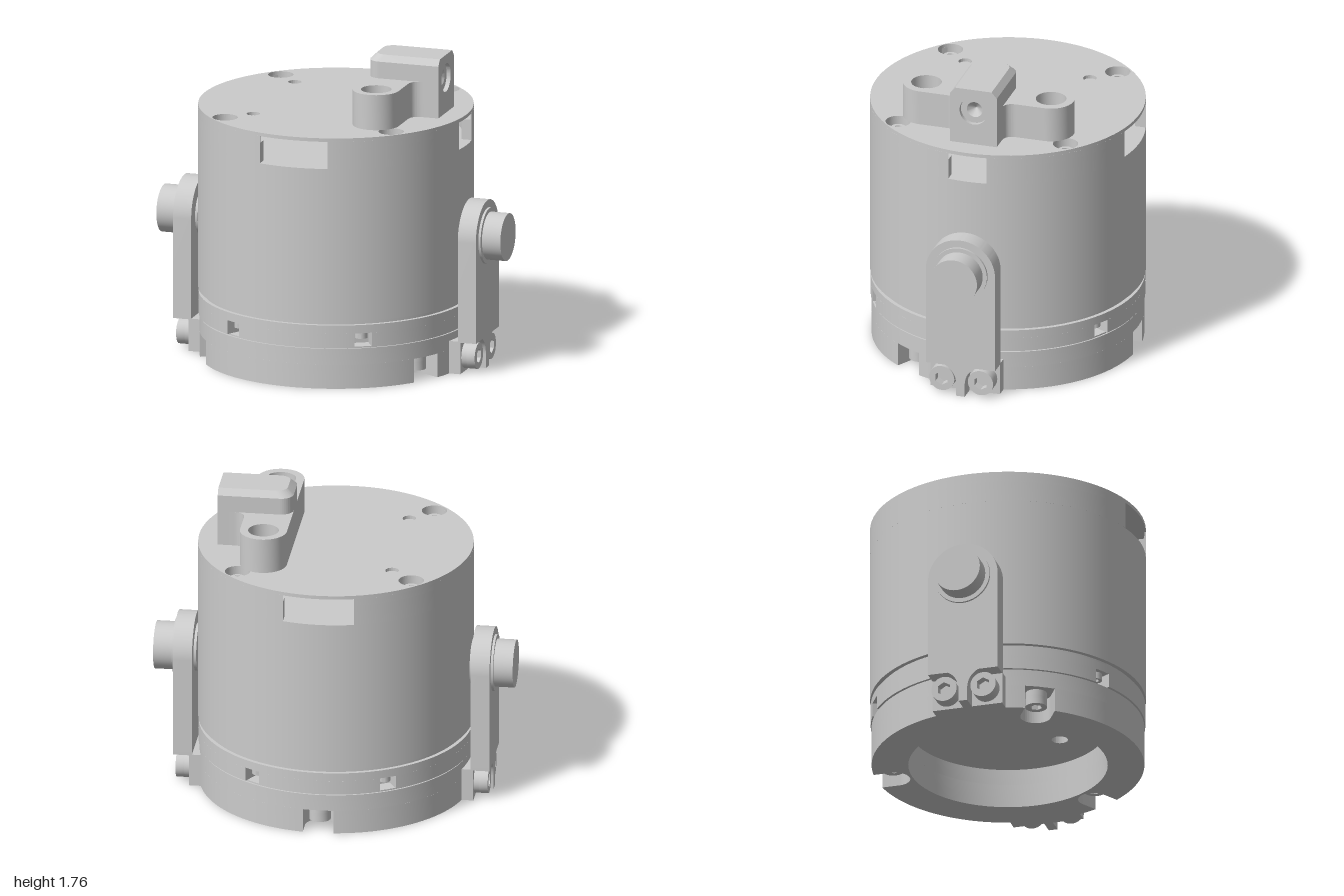
import * as THREE from 'three';
import { toCreasedNormals } from 'three/addons/utils/BufferGeometryUtils.js';

const PI = Math.PI;
const material = new THREE.MeshStandardMaterial({ color: 0xcccccc });
const thin = new THREE.MeshStandardMaterial({ color: 0xcccccc, side: THREE.DoubleSide });

export function createModel() {
  const model = new THREE.Group();

  function add(name, geometry, parent = model, mat = material) {
    const mesh = new THREE.Mesh(geometry, mat);
    mesh.name = name;
    parent.add(mesh);
    return mesh;
  }
  function extrude(shape, depth, segments = 32) {
    return toCreasedNormals(new THREE.ExtrudeGeometry(shape, { depth, bevelEnabled: false, curveSegments: segments }), 0.5);
  }
  // plan shape (x, z) extruded between two heights
  const layer = (shape, y0, y1, seg) => extrude(shape, y1 - y0, seg).rotateX(PI / 2).translate(0, y1, 0);
  // side profile (z, y) extruded between two x positions
  const sideways = (shape, x0, x1) => extrude(shape, x1 - x0).rotateY(PI / 2).translate(x0, 0, 0);
  const drum = (r, y0, y1) => new THREE.CylinderGeometry(r, r, y1 - y0, 96).translate(0, (y0 + y1) / 2, 0);

  function circle(r, x = 0, y = 0) {
    return new THREE.Shape().absarc(x, y, r, 0, 2 * PI, false);
  }
  function withHoles(shape, holes) {
    for (const [x, y, r] of holes) shape.holes.push(circle(r, x, y));
    return shape;
  }
  // disc with radial slots cut in from the rim
  function notchedDisc(R, angles, w, rIn, round) {
    const s = new THREE.Shape();
    const da = Math.asin(w / R);
    angles.forEach((a, i) => {
      const n = i + 1 < angles.length ? angles[i + 1] : angles[0] + 2 * PI;
      const at = (t) => [rIn * Math.cos(n) - t * Math.sin(n), rIn * Math.sin(n) + t * Math.cos(n)];
      s.absarc(0, 0, R, a + da, n - da, false);
      s.lineTo(...at(-w));
      if (round) s.absarc(...at(0), w, n - PI / 2, n + PI / 2, true);
      else s.lineTo(...at(w));
    });
    return s;
  }
  // wall piece between two windows with half widths w0 and w1
  function sector(R, r, a0, w0, a1, w1) {
    const s = new THREE.Shape();
    s.absarc(0, 0, R, a0 + Math.asin(w0 / R), a1 - Math.asin(w1 / R), false);
    s.absarc(0, 0, r, a1 - Math.asin(w1 / r), a0 + Math.asin(w0 / r), true);
    return s;
  }
  // socket head screw, head pointing up, resting on y = 0
  function screw(name, r, h) {
    const g = new THREE.Group();
    g.name = name;
    const hex = new THREE.Path();
    hex.setFromPoints([0, 1, 2, 3, 4, 5].map((i) =>
      new THREE.Vector2(Math.cos(i * PI / 3), Math.sin(i * PI / 3)).multiplyScalar(r * 0.55)));
    const head = circle(r);
    head.holes.push(hex);
    add('screwHead', layer(head, h * 0.4, h, 16), g);
    add('screwShank', new THREE.CylinderGeometry(r, r, h * 0.4, 32).translate(0, h * 0.2, 0), g);
    model.add(g);
    return g;
  }

  // base ring with three screw notches
  const notches = [PI / 6, 5 * PI / 6, 3 * PI / 2];
  const foot = notchedDisc(0.752, notches, 0.085, 0.65, true);
  add('baseFoot', layer(withHoles(foot, [[0, 0, 0.55]]), 0, 0.135));
  add('baseRing', layer(withHoles(circle(0.752), [[0, 0, 0.55]]), 0.135, 0.228, 48));
  for (const a of notches) {
    const s = screw('baseScrew', 0.06, 0.085);
    s.rotation.x = PI;
    s.position.set(0.66 * Math.cos(a), 0.136, 0.66 * Math.sin(a));
  }

  // middle ring with four access slots, its underside drilled
  const slots = [PI / 3, 2 * PI / 3, 4 * PI / 3, 5 * PI / 3];
  const drilled = [[0.23, 0.23, 0.045], [-0.34, 0.17, 0.045], [0.11, 0.37, 0.025], [-0.25, 0.33, 0.025], [-0.41, 0.01, 0.025]];
  add('seam', layer(withHoles(circle(0.742), drilled), 0.226, 0.236, 48));
  add('slottedRing', layer(withHoles(notchedDisc(0.757, slots, 0.048, 0.66, false), drilled), 0.236, 0.315));
  add('middleRing', drum(0.757, 0.315, 0.362));
  add('groove', drum(0.735, 0.362, 0.386));
  for (const a of slots) {
    const s = screw('slotScrew', 0.035, 0.04);
    s.rotation.x = PI;
    s.position.set(0.7 * Math.cos(a), 0.316, 0.7 * Math.sin(a));
  }

  // main housing and its window band
  add('housing', drum(0.76, 0.386, 1.255));
  const windows = [[0, 0.11], [PI / 2, 0.197], [3 * PI / 2, 0.197], [2 * PI, 0.11]];
  for (let i = 0; i < 3; i++) {
    const span = [...windows[i], ...windows[i + 1]];
    add('windowWall', layer(sector(0.76, 0.7, ...span), 1.255, 1.37, 48));
    add('windowWallTop', layer(sector(0.76, 0.752, ...span), 1.37, 1.41, 48));
  }

  // lid with four counterbores and two small holes
  const lidHoles = [[-0.36, -0.36, 0.037], [-0.36, 0.36, 0.037]];
  for (const x of [-0.483, 0.483]) for (const z of [-0.483, 0.483]) {
    lidHoles.push([x, z, 0.07]);
    add('lidBoss', new THREE.CylinderGeometry(0.072, 0.072, 0.115, 32).translate(x, 1.3125, z));
    add('counterbore', new THREE.CylinderGeometry(0.071, 0.071, 0.042, 32, 1, true).translate(x, 1.39, z), model, thin);
    screw('lidScrew', 0.04, 0.025).position.set(x, 1.37, z);
  }
  add('lid', layer(withHoles(circle(0.76), lidHoles), 1.41, 1.43, 48));
  add('lidCore', drum(0.58, 1.388, 1.411));

  // bracket on the lid: flange with two rounded ends
  const flange = new THREE.Shape();
  flange.absarc(0.355, -0.36, 0.13, PI, 2 * PI, false);
  flange.lineTo(0.485, -0.2);
  flange.quadraticCurveTo(0.485, -0.135, 0.55, -0.135);
  flange.lineTo(0.58, -0.135);
  flange.lineTo(0.58, 0.135);
  flange.lineTo(0.55, 0.135);
  flange.quadraticCurveTo(0.485, 0.135, 0.485, 0.2);
  flange.absarc(0.355, 0.36, 0.13, 0, PI, false);
  add('bracketFlange', layer(withHoles(flange, [[0.355, -0.36, 0.085], [0.355, 0.36, 0.085]]), 1.43, 1.63, 16));
  for (const z of [-0.36, 0.36]) screw('bracketScrew', 0.066, 0.13).position.set(0.355, 1.43, z);

  // raised centre block with a chamfered top
  const block = new THREE.Shape();
  block.moveTo(0.58, -0.135);
  block.lineTo(0.58, 0.135);
  block.lineTo(0.295, 0.135);
  block.absarc(0.295, 0.065, 0.07, PI / 2, PI, false);
  block.absarc(0.295, -0.065, 0.07, PI, 1.5 * PI, false);
  add('bracketBlock', layer(block, 1.63, 1.725, 10));
  let chamfer = new THREE.ExtrudeGeometry(block, { depth: 0.035, bevelEnabled: false, curveSegments: 10 });
  chamfer.rotateX(PI / 2).translate(0, 1.76, 0);
  const p = chamfer.attributes.position;
  for (let i = 0; i < p.count; i++) {
    if (p.getY(i) > 1.75) p.setXYZ(i, 0.58 - (0.58 - p.getX(i)) * 0.9, 1.76, p.getZ(i) * 0.78);
  }
  add('bracketChamfer', toCreasedNormals(chamfer, 0.5));

  // bored end of the block
  const end = new THREE.Shape([[-0.135, 1.43], [0.135, 1.43], [0.135, 1.725], [0.105, 1.76], [-0.105, 1.76], [-0.135, 1.725]]
    .map(([a, b]) => new THREE.Vector2(a, b)));
  add('bracketEnd', sideways(withHoles(end, [[0, 1.63, 0.08]]), 0.58, 0.64));
  const funnel = [[0.002, 0], [0.045, 0.035], [0.08, 0.035]].map(([a, b]) => new THREE.Vector2(a, b));
  add('bore', toCreasedNormals(new THREE.LatheGeometry(funnel, 32), 0.5).rotateZ(-PI / 2).translate(0.581, 1.63, 0), model, thin);

  // pivot arms on both sides
  for (const side of [0, PI]) {
    const arm = new THREE.Group();
    arm.name = side ? 'rightArm' : 'leftArm';
    const plate = new THREE.Shape();
    plate.moveTo(-0.2, 0.18);
    plate.lineTo(0.2, 0.18);
    plate.absarc(0, 0.75, 0.2, 0, PI, false);
    add('armPlate', sideways(plate, 0.775, 0.88), arm);
    const onAxis = (r, x0, x1) => new THREE.CylinderGeometry(r, r, x1 - x0, 48).rotateZ(-PI / 2).translate((x0 + x1) / 2, 0.75, 0);
    add('pivotCollar', onAxis(0.157, 0.87, 0.893), arm);
    add('pivotPin', onAxis(0.133, 0.76, 1), arm);
    // mounting foot: recessed plate, centre web and two screws
    add('armFoot', new THREE.BoxGeometry(0.09, 0.185, 0.4).translate(0.745, 0.0925, 0), arm);
    const web = new THREE.Shape();
    web.moveTo(-0.025, 0);
    web.lineTo(0.025, 0);
    web.lineTo(0.025, 0.08);
    web.quadraticCurveTo(0.03, 0.15, 0.09, 0.181);
    web.lineTo(-0.09, 0.181);
    web.quadraticCurveTo(-0.03, 0.15, -0.025, 0.08);
    add('armWeb', sideways(web, 0.785, 0.88), arm);
    for (const z of [-0.112, 0.112]) {
      const s = screw('armScrew', 0.073, 0.08);
      s.rotation.z = -PI / 2;
      s.position.set(0.788, 0.09, z);
      arm.add(s);
    }
    arm.rotation.y = side;
    model.add(arm);
  }
  return model;
}
